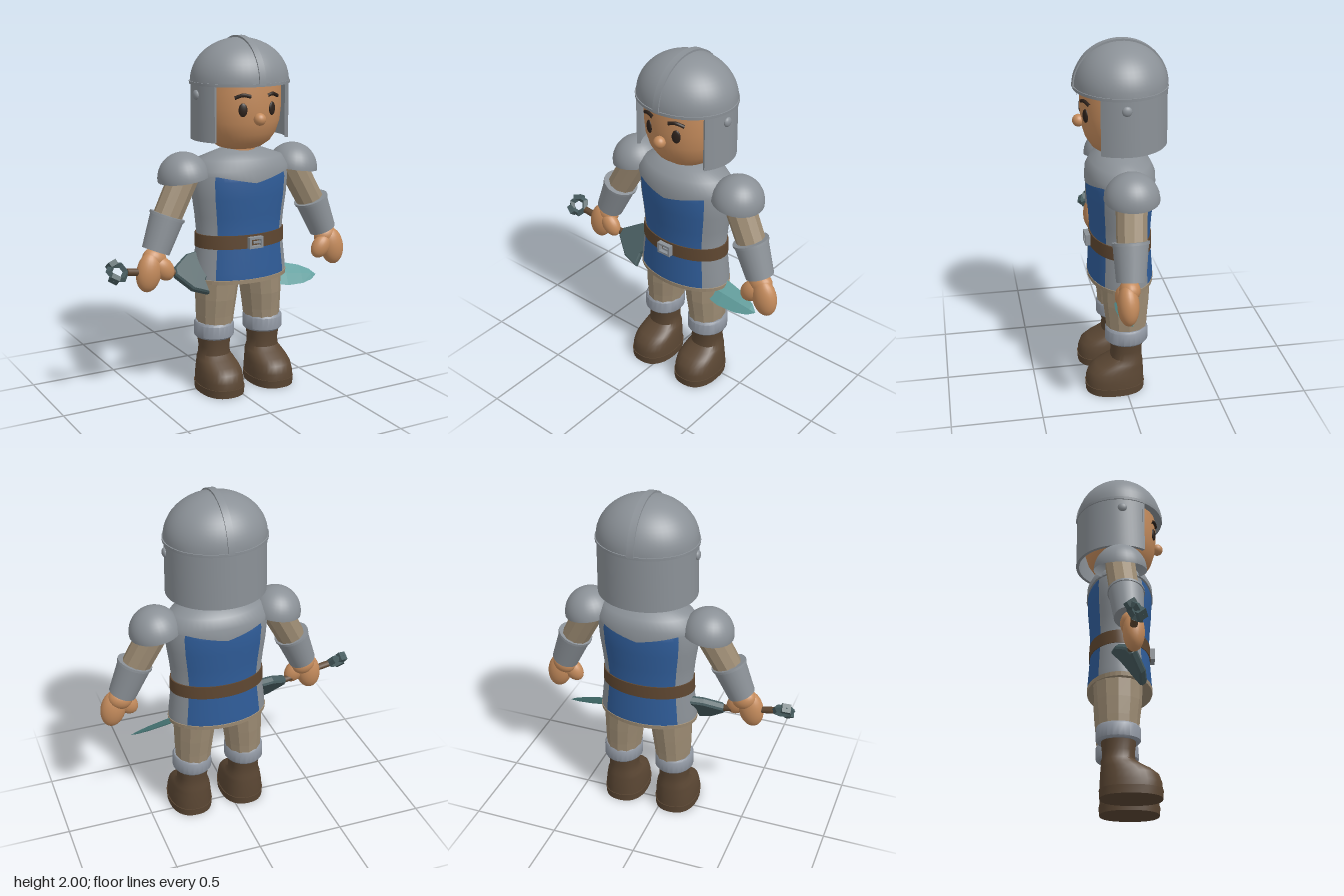
import * as THREE from 'three';
import { toCreasedNormals } from 'three/addons/utils/BufferGeometryUtils.js';

const mat = (name, color, opts = {}) => new THREE.MeshStandardMaterial({ name, color, ...opts });

export function createModel() {
  const steel = mat('steel', 0x8b9197, { side: THREE.DoubleSide });
  const paleSteel = mat('paleSteel', 0x8f96a1);
  const blue = mat('blueCloth', 0x2f5c98);
  const skin = mat('skin', 0xc48b5c);
  const tan = mat('tanCloth', 0x9c8b73, { flatShading: true });
  const brown = mat('bootLeather', 0x5a4633);
  const belt = mat('beltLeather', 0x5e4630);
  const dark = mat('darkFeature', 0x2c211b);
  const teal = mat('bladeTeal', 0x62a09f, { flatShading: true });
  const iron = mat('darkIron', 0x475c5f, { flatShading: true });

  const root = new THREE.Group();
  root.name = 'guard';
  const body = new THREE.Group();
  body.name = 'body';
  body.position.x = 0.085;
  root.add(body);

  const add = (name, geo, material, parent = body, pos = [0, 0, 0]) => {
    const m = new THREE.Mesh(geo, material);
    m.name = name;
    m.position.set(...pos);
    parent.add(m);
    return m;
  };
  // Turned profile (bottom to top), flattened in z
  const lathe = (pts, zScale, start = 0, len = Math.PI * 2, seg = 40) => {
    const g = new THREE.LatheGeometry(pts.map(p => new THREE.Vector2(...p)), seg, start, len);
    g.scale(1, 1, zScale);
    return toCreasedNormals(g, 0.7);
  };
  // Stacked oval rows [y, centreX, radiusX, zBack, zFront]; power < 1 squares the ovals
  const loft = (rows, seg = 28, power = 1) => {
    const g = new THREE.CylinderGeometry(1, 1, 1, seg, rows.length - 1);
    const p = g.attributes.position;
    const sq = v => Math.sign(v) * Math.abs(v) ** power;
    for (let i = 0; i < p.count; i++) {
      const [y, cx, rx, zb, zf] = rows[Math.round((p.getY(i) + 0.5) * (rows.length - 1))];
      p.setXYZ(i, cx + sq(p.getX(i)) * rx, y, (zb + zf) / 2 + sq(p.getZ(i)) * (zf - zb) / 2);
    }
    return toCreasedNormals(g, 0.7);
  };
  // Tapered cylinder between two points
  const limb = (name, a, b, ra, rb, material, seg) => {
    const A = new THREE.Vector3(...a), B = new THREE.Vector3(...b);
    const m = add(name, new THREE.CylinderGeometry(rb, ra, A.distanceTo(B), seg), material);
    m.position.copy(A).lerp(B, 0.5);
    m.quaternion.setFromUnitVectors(new THREE.Vector3(0, 1, 0), B.clone().sub(A).normalize());
    return m;
  };
  const ball = (name, pos, r, material, rotZ = 0) => {
    const m = add(name, new THREE.SphereGeometry(1, 24, 16), material, body, pos);
    m.scale.set(...r);
    m.rotation.z = rotZ;
    return m;
  };

  // Tunic: blue front and back panels, steel sides
  const tunic = [[0.286, 0.66], [0.284, 0.7], [0.268, 0.84], [0.262, 0.92], [0.272, 1.02],
    [0.286, 1.12], [0.293, 1.22], [0.28, 1.28], [0.2, 1.33]];
  const half = 0.85, side = Math.PI - 2 * half;
  add('tunicFront', lathe(tunic, 0.63, -half, 2 * half, 16), blue);
  add('tunicLeftSide', lathe(tunic, 0.63, half, side, 14), steel);
  add('tunicBack', lathe(tunic, 0.63, Math.PI - half, 2 * half, 16), blue);
  add('tunicRightSide', lathe(tunic, 0.63, Math.PI + half, side, 14), steel);
  add('tunicHem', lathe([[0, 0.65], [0.27, 0.642], [0.288, 0.642], [0.29, 0.665], [0.28, 0.668]], 0.63), tan);

  // Collar plate with a pointed lower edge
  const collar = new THREE.LatheGeometry([[0.285, 1.21], [0.302, 1.21], [0.297, 1.28], [0.255, 1.335],
    [0.17, 1.365], [0.105, 1.388], [0.085, 1.388]].map(p => new THREE.Vector2(...p)), 48);
  const cp = collar.attributes.position;
  for (let i = 0; i < cp.count; i++)
    if (cp.getY(i) < 1.22) cp.setY(i, 1.21 + 0.045 * Math.min(1, Math.abs(cp.getX(i)) / 0.22));
  collar.scale(1, 1, 0.63);
  add('collarPlate', toCreasedNormals(collar, 0.7), steel);

  // Belt and buckle
  add('belt', lathe([[0.255, 0.842], [0.273, 0.842], [0.27, 0.918], [0.255, 0.918]], 0.635), belt);
  const frame = new THREE.Shape([[-0.043, -0.032], [0.043, -0.032], [0.043, 0.032], [-0.043, 0.032]].map(p => new THREE.Vector2(...p)));
  frame.holes.push(new THREE.Path([[-0.03, -0.019], [-0.03, 0.019], [0.03, 0.019], [0.03, -0.019]].map(p => new THREE.Vector2(...p))));
  add('buckleFrame', new THREE.ExtrudeGeometry(frame, { depth: 0.03, bevelEnabled: false }), steel, body, [0, 0.876, 0.168]);
  add('bucklePin', new THREE.BoxGeometry(0.045, 0.012, 0.012), steel, body, [0.01, 0.876, 0.185]);

  // Head and face
  add('neck', new THREE.CylinderGeometry(0.095, 0.1, 0.1, 24), skin, body, [0, 1.39, -0.01]);
  add('head', lathe([[0, 1.373], [0.07, 1.378], [0.125, 1.395], [0.17, 1.425], [0.205, 1.475], [0.226, 1.54],
    [0.234, 1.62], [0.234, 1.7], [0.225, 1.8]], 0.91), skin);
  const faceZ = x => 0.91 * Math.sqrt(0.234 ** 2 - x * x);
  ball('nose', [0, 1.565, 0.222], [0.034, 0.034, 0.033], skin);
  for (const s of [-1, 1]) {
    const eye = ball('eye', [s * 0.09, 1.617, faceZ(0.09)], [0.024, 0.037, 0.01], dark);
    eye.rotation.y = s * 0.38;
    const brow = new THREE.CatmullRomCurve3([[0.05, 1.688], [0.09, 1.697], [0.132, 1.682]]
      .map(([x, y]) => new THREE.Vector3(s * x, y, faceZ(x) + 0.004)));
    add('eyebrow', new THREE.TubeGeometry(brow, 10, 0.01, 8), dark);
  }

  // Helmet: dome, neck guard, crest strip and rivets
  const helmet = new THREE.Group();
  helmet.name = 'helmet';
  helmet.position.z = -0.003;
  body.add(helmet);
  const dome = [[0.22, 1.752], [0.284, 1.742], [0.285, 1.758]];
  for (let i = 0; i <= 14; i++) {
    const a = i / 14 * Math.PI / 2;
    dome.push([0.279 * Math.cos(a), 1.758 + 0.232 * Math.sin(a)]);
  }
  add('helmetDome', lathe(dome, 0.895, 0, Math.PI * 2, 48), steel, helmet);
  const open = 1.0;
  add('neckGuard', lathe([[0.258, 1.755], [0.258, 1.44], [0.277, 1.44], [0.275, 1.755]], 0.91,
    open, Math.PI * 2 - 2 * open, 48), steel, helmet);
  const strip = new THREE.Shape();
  strip.absellipse(0, 0, 0.257, 0.25, 0, Math.PI, false);
  strip.absellipse(0, 0, 0.238, 0.228, Math.PI, 0, true);
  const stripGeo = new THREE.ExtrudeGeometry(strip, { depth: 0.038, bevelEnabled: false, curveSegments: 28 });
  stripGeo.translate(0, 0, -0.019).rotateY(Math.PI / 2);
  add('crestStrip', toCreasedNormals(stripGeo, 0.5), steel, helmet, [0, 1.75, 0]);
  for (const s of [-1, 1]) {
    const edge = add('guardEdge', new THREE.BoxGeometry(0.02, 0.314, 0.012), steel, helmet,
      [s * 0.267 * Math.sin(open), 1.597, 0.91 * 0.267 * Math.cos(open)]);
    edge.rotation.y = s * open + Math.PI / 2;
    const rivet = add('rivet', new THREE.SphereGeometry(0.027, 16, 12), steel, helmet, [s * 0.275, 1.69, 0.013]);
    rivet.scale.x = 0.6;
  }

  for (const s of [-1, 1]) {
    // Shoulder pad
    const pad = add('shoulderPad', new THREE.SphereGeometry(0.143, 28, 12, 0, Math.PI * 2, 0, Math.PI / 2),
      steel, body, [s * 0.348, 1.238, -0.003]);
    pad.scale.set(1, 1.02, 1.03);
    pad.rotation.z = -s * 0.14;

    // Arm, bracer and mitten hand
    limb('upperArm', [s * 0.32, 1.3, -0.005], [s * 0.47, 1.02, 0.02], 0.085, 0.08, tan, 10);
    limb('bracer', [s * 0.54, 0.86, 0.036], [s * 0.463, 1.045, 0.025], 0.078, 0.095, steel, 24);
    const rim = limb('bracerRim', [s * 0.466, 1.037, 0.025], [s * 0.461, 1.05, 0.025], 0.1, 0.1, steel, 24);
    rim.scale.z = 1.0;
    ball('palm', [s * 0.592, 0.755, 0.06], [0.072, 0.112, 0.057], skin, s * 0.2);
    ball('wrist', [s * 0.553, 0.82, 0.045], [0.07, 0.06, 0.055], skin, s * 0.4);
    ball('thumb', [s * 0.51, 0.765, 0.07], [0.055, 0.075, 0.045], skin, -s * 0.65);

    // Leg, cuff and boot
    add('trouserLeg', loft([[0.36, s * 0.155, 0.1, -0.125, 0.1], [0.44, s * 0.152, 0.107, -0.13, 0.106],
      [0.54, s * 0.146, 0.115, -0.14, 0.118], [0.66, s * 0.137, 0.125, -0.148, 0.122]], 12), tan);
    add('bootCuff', loft([[0.305, s * 0.16, 0.104, -0.122, 0.1], [0.316, s * 0.16, 0.113, -0.131, 0.11],
      [0.384, s * 0.16, 0.113, -0.131, 0.11], [0.396, s * 0.16, 0.104, -0.122, 0.1]], 24), paleSteel);
    add('boot', loft([[0.04, s * 0.162, 0.124, -0.108, 0.222], [0.08, s * 0.162, 0.123, -0.108, 0.22],
      [0.125, s * 0.161, 0.117, -0.106, 0.205], [0.155, s * 0.16, 0.11, -0.104, 0.165],
      [0.18, s * 0.16, 0.102, -0.102, 0.115], [0.205, s * 0.16, 0.088, -0.098, 0.08],
      [0.25, s * 0.16, 0.086, -0.096, 0.077], [0.31, s * 0.16, 0.093, -0.104, 0.085]], 28, 0.85), brown);
    add('bootSole', loft([[0, s * 0.162, 0.125, -0.109, 0.223], [0.045, s * 0.162, 0.128, -0.112, 0.226]], 28, 0.85), brown);
  }

  // Sword held across the body; local x runs along it
  const sword = new THREE.Group();
  sword.name = 'sword';
  sword.position.set(-0.48, 0.748, 0.055);
  sword.rotation.set(0, 0.035, -0.155);
  root.add(sword);
  const roll = new THREE.Group();
  roll.name = 'swordParts';
  roll.rotation.x = -0.69;
  sword.add(roll);
  const handle = add('handle', new THREE.CylinderGeometry(0.02, 0.02, 0.36, 10), belt, roll, [0.02, 0, 0]);
  handle.rotation.z = Math.PI / 2;

  // Open ring pommel with small lugs
  const ring = add('pommelRing', new THREE.TorusGeometry(0.05, 0.02, 4, 6), iron, roll, [-0.215, 0, 0]);
  ring.scale.set(1, 0.95, 1.1);
  for (const s of [-1, 1]) {
    const lug = add('pommelLug', new THREE.BoxGeometry(0.05, 0.03, 0.05), iron, roll, [-0.24, s * 0.042, 0]);
    lug.rotation.z = s * 0.5;
  }

  // Winged guard
  const wing = new THREE.Shape([[-0.1, -0.02], [-0.1, 0.02], [-0.01, 0.1], [0.055, 0.12], [0.065, 0.05],
    [0.1, 0], [0.065, -0.05], [0.075, -0.12], [-0.01, -0.1]].reverse().map(p => new THREE.Vector2(...p)));
  const wingGeo = new THREE.ExtrudeGeometry(wing, { depth: 0.025, bevelThickness: 0.012, bevelSize: 0.008, bevelSegments: 1 });
  wingGeo.translate(0, 0, -0.0125);
  add('swordGuard', wingGeo, iron, roll, [0.235, 0, 0]);

  // Leaf blade: flat diamond sections [x, half width, half thickness]
  const rows = [[0.27, 0.04, 0.012], [0.5, 0.045, 0.012], [0.75, 0.06, 0.012], [0.87, 0.075, 0.012],
    [0.98, 0.06, 0.009], [1.05, 0.034, 0.006], [1.088, 0.002, 0.001]];
  const blade = new THREE.CylinderGeometry(1, 1, 1, 4, rows.length - 1);
  const bp = blade.attributes.position;
  for (let i = 0; i < bp.count; i++) {
    const [x, w, t] = rows[Math.round((0.5 - bp.getY(i)) * (rows.length - 1))];
    bp.setXYZ(i, x, bp.getX(i) * w, bp.getZ(i) * -t);
  }
  teal.side = THREE.DoubleSide;
  blade.computeVertexNormals();
  add('blade', blade, teal, roll);

  return root;
}
